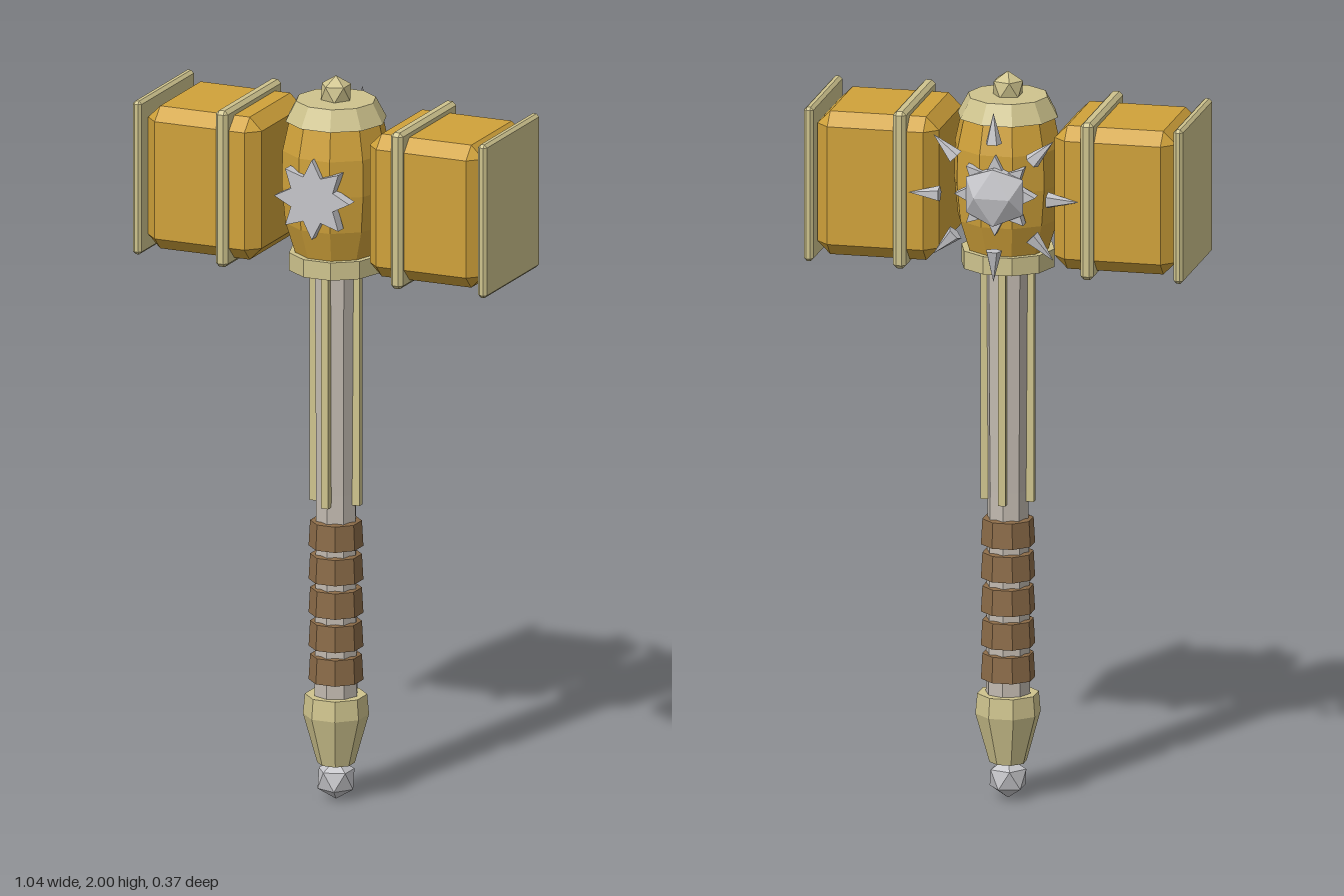
import * as THREE from 'three';
import { ConvexGeometry } from 'three/addons/geometries/ConvexGeometry.js';

function material(name, color) {
  const m = new THREE.MeshStandardMaterial({ color });
  m.name = name;
  return m;
}

// Faceted copy of a geometry: one normal per face
function faceted(geometry) {
  const g = geometry.index ? geometry.toNonIndexed() : geometry;
  g.computeVertexNormals();
  return g;
}

// Faceted turned part; profile is [radius, y] from bottom to top
function turned(profile, sides, start = 0) {
  const points = profile.map(([r, y]) => new THREE.Vector2(r, y));
  return faceted(new THREE.LatheGeometry(points, sides, start));
}

// Box of half sizes h with every edge and corner cut off by b
function chamferBox(hx, hy, hz, b) {
  const points = [];
  for (const x of [-1, 1]) for (const y of [-1, 1]) for (const z of [-1, 1]) {
    points.push(
      new THREE.Vector3(x * hx, y * (hy - b), z * (hz - b)),
      new THREE.Vector3(x * (hx - b), y * hy, z * (hz - b)),
      new THREE.Vector3(x * (hx - b), y * (hy - b), z * hz));
  }
  return new ConvexGeometry(points);
}

// Icosahedron standing on a corner
function gem(radius) {
  return new THREE.IcosahedronGeometry(radius, 0).rotateZ(0.5536);
}

export function createModel() {
  const gold = material('gold', 0xd0a23a);
  const brass = material('pale brass', 0xcfc48e);
  const silver = material('silver', 0xc6c6ca);
  const steel = material('handle grey', 0xc2bab0);
  const leather = material('leather', 0x8b6b48);

  const model = new THREE.Group();
  model.name = 'hammer';
  const body = new THREE.Group();
  body.name = 'body';
  body.position.z = 0.005;
  model.add(body);

  const add = (name, geometry, mat, x = 0, y = 0, z = 0) => {
    const mesh = new THREE.Mesh(geometry, mat);
    mesh.name = name;
    mesh.position.set(x, y, z);
    body.add(mesh);
    return mesh;
  };

  // Pommel
  add('pommelGem', gem(0.056), silver, 0, 0.056);
  add('pommel', turned([[0, 0.1], [0.05, 0.1], [0.088, 0.235], [0.083, 0.29], [0, 0.29]], 8, Math.PI / 8), brass);

  // Handle with raised ribs and leather wraps
  add('handle', turned([[0.061, 0.27], [0.056, 0.85], [0.06, 1.48]], 8), steel);
  for (let i = 0; i < 4; i++) {
    const a = i * Math.PI / 2;
    const rib = add('handleRib', new THREE.BoxGeometry(0.02, 0.65, 0.03), brass,
      Math.sin(a) * 0.058, 1.145, Math.cos(a) * 0.058);
    rib.rotation.y = a;
  }
  for (let i = 0; i < 5; i++) {
    const y = 0.33 + i * 0.0925;
    add('gripWrap', turned([[0.05, y], [0.073, y], [0.069, y + 0.07], [0.05, y + 0.075]], 8, Math.PI / 8), leather);
  }

  // Head core with collar, cap and finial
  const quarter = Math.PI / 2;
  add('headCollar', turned([[0, 1.468], [0.127, 1.468], [0.127, 1.517], [0, 1.517]], 10, quarter), brass);
  add('headBarrel', turned([[0.11, 1.515], [0.137, 1.6], [0.147, 1.7], [0.145, 1.8], [0.125, 1.89]], 10, quarter), gold);
  add('headCap', turned([[0, 1.88], [0.137, 1.88], [0.108, 1.935], [0, 1.935]], 10, quarter), brass);
  add('finial', gem(0.046), brass, 0, 1.954);

  // Striking blocks, mirrored
  const blockGeometry = chamferBox(0.166, 0.197, 0.164, 0.035);
  const bandGeometry = chamferBox(0.018, 0.216, 0.179, 0.01);
  const plateGeometry = chamferBox(0.013, 0.212, 0.174, 0.008);
  for (const side of [-1, 1]) {
    add('strikingBlock', blockGeometry, gold, side * 0.324, 1.698);
    add('blockBand', bandGeometry, brass, side * 0.256, 1.7);
    add('endPlate', plateGeometry, brass, side * 0.505, 1.7);
  }

  // Eight-pointed stars, front and back
  const star = new THREE.Shape();
  for (let i = 0; i < 16; i++) {
    const r = i % 2 ? 0.066 : 0.11;
    const a = i * Math.PI / 8;
    star[i ? 'lineTo' : 'moveTo'](r * Math.cos(a), r * Math.sin(a));
  }
  star.closePath();
  const starGeometry = new THREE.ExtrudeGeometry(star, { depth: 0.034, bevelEnabled: false });
  add('frontStar', starGeometry, silver, 0, 1.695, 0.121);
  add('backStar', starGeometry, silver, 0, 1.695, -0.155);

  // Back gem with a ring of spikes
  const boss = add('backGem', new THREE.IcosahedronGeometry(0.092, 0).rotateZ(quarter), silver, 0, 1.695, -0.155);
  boss.scale.z = 0.5;
  const spikeGeometry = faceted(new THREE.ConeGeometry(0.023, 0.085, 5));
  for (let i = 0; i < 8; i++) {
    const a = i * Math.PI / 4;
    const spike = add('backSpike', spikeGeometry, silver, -Math.sin(a) * 0.19, 1.695 + Math.cos(a) * 0.19, -0.168);
    spike.rotation.z = a;
  }
  return model;
}
